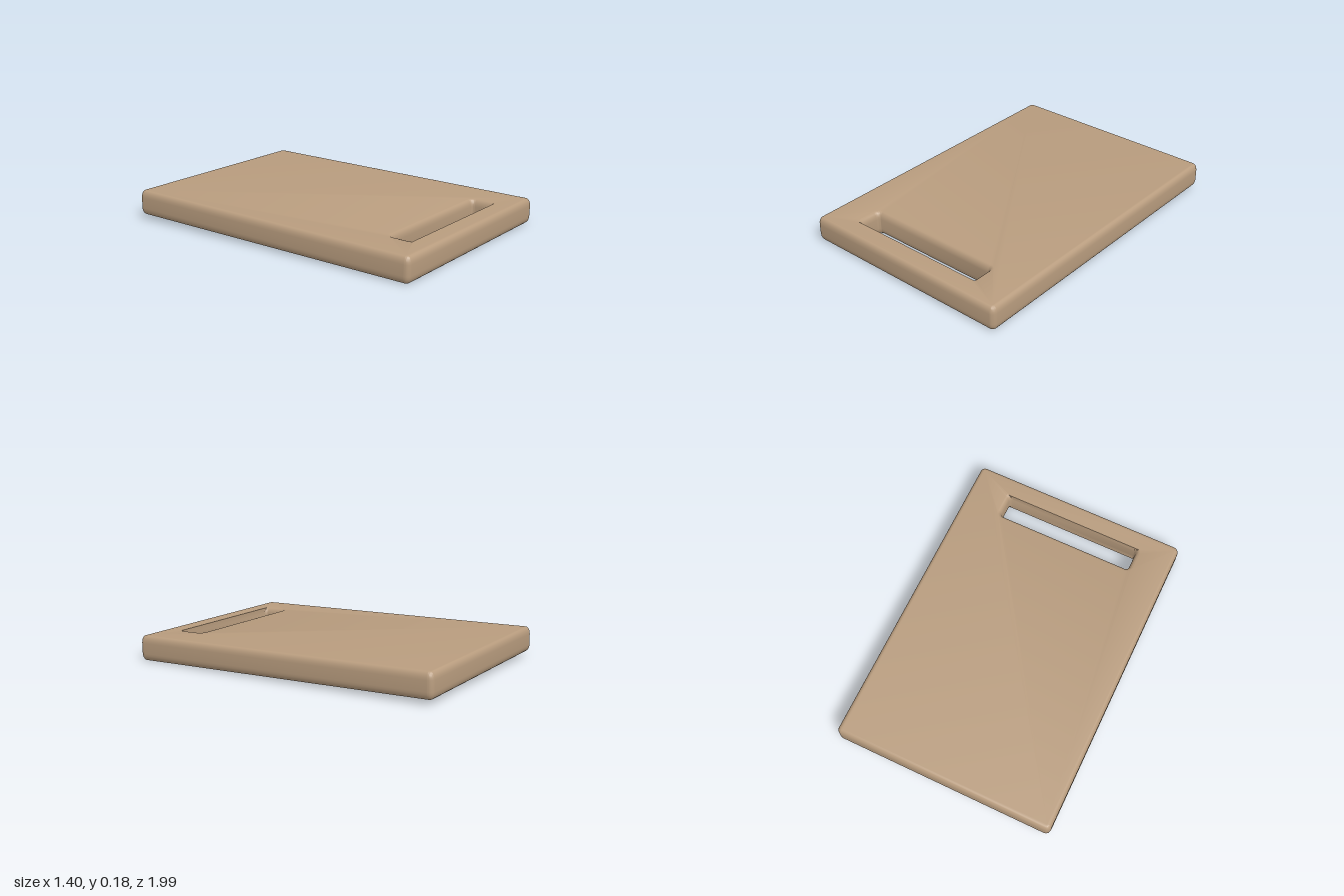
import * as THREE from 'three';
import { toCreasedNormals } from 'three/addons/utils/BufferGeometryUtils.js';

// Rounded rectangle outline from its bounds
function roundedRect(path, x0, y0, x1, y1, r) {
  path.moveTo(x0 + r, y0);
  path.lineTo(x1 - r, y0);
  path.absarc(x1 - r, y0 + r, r, -Math.PI / 2, 0);
  path.lineTo(x1, y1 - r);
  path.absarc(x1 - r, y1 - r, r, 0, Math.PI / 2);
  path.lineTo(x0 + r, y1);
  path.absarc(x0 + r, y1 - r, r, Math.PI / 2, Math.PI);
  path.lineTo(x0, y0 + r);
  path.absarc(x0 + r, y0 + r, r, Math.PI, Math.PI * 1.5);
  return path;
}

export function createModel() {
  const thickness = 0.154, bevelHeight = 0.045, bevelSize = 0.026;

  // Slab outline with the handle slot near the front (+z) end
  const outline = roundedRect(new THREE.Shape(), -0.695, -0.993, 0.695, 0.993, 0.034);
  outline.holes.push(roundedRect(new THREE.Path(), -0.453, -0.865, 0.435, -0.72, 0.022));

  const geometry = new THREE.ExtrudeGeometry(outline, {
    depth: thickness - 2 * bevelHeight,
    bevelThickness: bevelHeight,
    bevelSize,
    bevelOffset: -bevelSize,
    bevelSegments: 5,
    curveSegments: 5,
  });
  geometry.center();
  geometry.rotateX(-Math.PI / 2);

  // The slot's front wall stays upright, without a rounded edge
  const pos = geometry.attributes.position;
  for (let i = 0; i < pos.count; i++) {
    const z = pos.getZ(i);
    if (Math.abs(pos.getX(i)) < 0.55 && z > 0.865 && z < 0.92) pos.setZ(i, 0.867);
  }

  const board = new THREE.Mesh(
    toCreasedNormals(geometry, 0.6),
    new THREE.MeshStandardMaterial({ color: 0xb89c7e })
  );
  board.name = 'board';

  // Slight lean: back end raised, with a hint of yaw
  board.rotation.set(0.0145, -0.004, 0);
  board.position.y = 0.0925;

  const group = new THREE.Group();
  group.name = 'cuttingBoard';
  group.add(board);
  return group;
}
